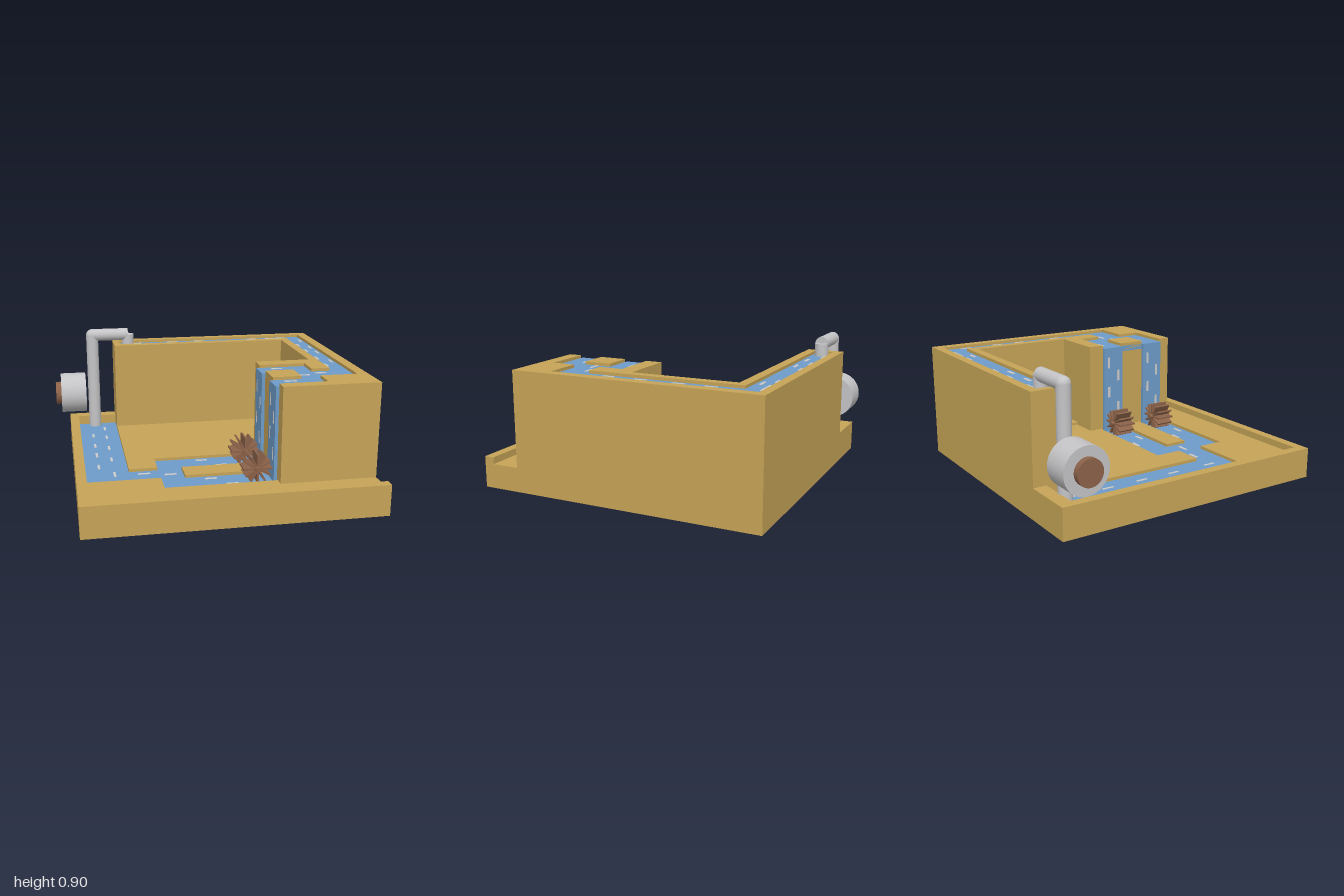
import * as THREE from 'three';

const mat = (name, color) => new THREE.MeshStandardMaterial({ name, color });

export function createModel() {
  const sand = mat('sand', 0xc6a457);
  const water = mat('water', 0x6d9cc9);
  const foam = mat('foam', 0xcccccc);
  const metal = mat('metal', 0xc4c4c6);
  const wood = mat('wood', 0x8c6249);

  const model = new THREE.Group();
  model.name = 'waterCircuit';

  // Box given by its limits on each axis
  const slab = (name, m, x0, x1, y0, y1, z0, z1, parent = model) => {
    const mesh = new THREE.Mesh(new THREE.BoxGeometry(x1 - x0, y1 - y0, z1 - z0), m);
    mesh.position.set((x0 + x1) / 2, (y0 + y1) / 2, (z0 + z1) / 2);
    mesh.name = name;
    parent.add(mesh);
    return mesh;
  };
  const layer = (name, m, y0, y1, rects) =>
    rects.forEach(([x0, x1, z0, z1]) => slab(name, m, x0, x1, y0, y1, z0, z1));

  // Base plate and low rim
  slab('base', sand, -0.9, 1, 0, 0.08, -0.94, 0.96);
  layer('lowerRim', sand, 0.08, 0.205, [
    [-0.9, -0.835, -0.94, 0.96],
    [-0.835, -0.55, -0.94, -0.85],
    [-0.835, 1, 0.895, 0.96],
  ]);

  // Lower pool and the ground around it
  slab('lowerWater', water, -0.835, 0.365, 0.08, 0.14, -0.85, 0.645);
  layer('ground', sand, 0.08, 0.16, [
    [-0.835, -0.55, 0.47, 0.895],
    [-0.55, -0.36, 0.47, 0.895],
    [-0.36, -0.2, 0.645, 0.895],
    [-0.2, 0.365, 0.645, 0.895],
    [0.365, 1, 0.705, 0.895],
    [-0.55, -0.36, -0.69, 0.28],
    [-0.36, -0.2, -0.69, 0.1],
    [-0.2, 0.365, -0.69, 0.1],
    [0.365, 0.745, -0.69, 0.01],
    [-0.2, 0.365, 0.295, 0.45],
  ]);
  slab('courtyardStep', sand, 0.555, 0.745, 0.16, 0.18, -0.465, 0.01);

  // Walls carrying the raised channel
  layer('tower', sand, 0.08, 0.73, [
    [0.365, 1, 0.01, 0.71],
    [0.745, 1, -0.69, 0.01],
    [-0.55, 1, -0.94, -0.69],
  ]);

  // Raised channel: water, then the lip and islands
  layer('upperWater', water, 0.73, 0.77, [
    [-0.505, 0.93, -0.88, -0.75],
    [0.805, 0.93, -0.75, 0.12],
    [0.365, 0.93, 0.12, 0.625],
  ]);
  layer('upperRim', sand, 0.73, 0.79, [
    [-0.55, 1, -0.94, -0.88],
    [-0.55, -0.505, -0.88, -0.69],
    [-0.505, 0.745, -0.75, -0.69],
    [0.745, 0.805, -0.75, 0.01],
    [0.365, 0.805, 0.01, 0.12],
    [0.68, 0.805, 0.12, 0.28],
    [0.68, 0.93, 0.47, 0.625],
    [0.365, 1, 0.625, 0.71],
    [0.93, 1, -0.88, 0.625],
    [0.365, 0.555, 0.28, 0.465],
  ]);

  // Waterfalls with flow marks
  for (const [z0, z1] of [[0.12, 0.28], [0.465, 0.625]]) {
    slab('waterfall', water, 0.343, 0.367, 0.13, 0.77, z0, z1);
    for (const [dz, y] of [[0.04, 0.66], [0.12, 0.56], [0.04, 0.44], [0.12, 0.32]])
      slab('fallMark', foam, 0.341, 0.344, y - 0.04, y + 0.04, z0 + dz - 0.009, z0 + dz + 0.009);
  }

  // Flow marks lying on the water
  const marks = (y, alongX, points) => points.forEach(([x, z]) => {
    const a = alongX ? 0.04 : 0.008, b = alongX ? 0.01 : 0.04;
    slab('flowMark', foam, x - a, x + a, y, y + 0.003, z - b, z + b);
  });
  marks(0.14, false, [
    [-0.645, -0.695], [-0.645, -0.48], [-0.645, -0.23], [-0.645, 0.016], [-0.645, 0.31],
    [-0.74, -0.535], [-0.74, -0.29], [-0.74, -0.09], [-0.74, 0.15],
  ]);
  marks(0.14, true, [
    [-0.455, 0.33], [-0.285, 0.37], [-0.04, 0.14], [0.08, 0.25], [-0.04, 0.49], [0.08, 0.6],
  ]);
  marks(0.77, true, [
    [0.47, 0.165], [0.47, 0.51], [0.6, 0.37], [0.725, 0.33],
    [-0.37, -0.85], [-0.09, -0.85], [0.12, -0.85], [0.545, -0.85], [0.695, -0.85], [0.78, -0.85],
    [-0.21, -0.785], [0.02, -0.785], [0.625, -0.785],
  ]);
  marks(0.77, false, [
    [0.835, 0.12], [0.905, 0.016], [0.84, -0.1], [0.905, -0.29],
    [0.84, -0.35], [0.905, -0.47], [0.84, -0.555], [0.905, -0.72],
  ]);

  const cylinder = (name, m, r, length, axis, x, y, z, parent = model) => {
    const mesh = new THREE.Mesh(new THREE.CylinderGeometry(r, r, length, 32), m);
    if (axis === 'x') mesh.rotation.z = Math.PI / 2;
    if (axis === 'z') mesh.rotation.x = Math.PI / 2;
    mesh.position.set(x, y, z);
    mesh.name = name;
    parent.add(mesh);
    return mesh;
  };

  // Paddle wheels under the falls
  for (const z of [0.197, 0.543]) {
    const wheel = new THREE.Group();
    wheel.name = 'paddleWheel';
    wheel.position.set(0.245, 0.228, z);
    cylinder('axle', wood, 0.018, 0.175, 'z', 0, 0, 0, wheel);
    for (let i = 0; i < 12; i++) {
      const arm = new THREE.Group();
      arm.name = 'paddle';
      arm.rotation.z = (i * Math.PI) / 6;
      slab('blade', wood, 0.01, 0.094, -0.006, 0.006, -0.064, 0.064, arm);
      wheel.add(arm);
    }
    model.add(wheel);
  }

  // Pump motor
  const pz = -0.815;
  cylinder('motor', metal, 0.149, 0.186, 'x', -0.867, 0.413, pz);
  cylinder('motorCap', wood, 0.085, 0.045, 'x', -0.9775, 0.413, pz);

  // Pipe lifting water to the raised channel
  cylinder('riser', metal, 0.045, 0.745, 'y', -0.71, 0.4825, pz);
  const elbow = new THREE.Mesh(new THREE.SphereGeometry(0.045, 32, 16), metal);
  elbow.name = 'elbow';
  elbow.position.set(-0.71, 0.855, pz);
  model.add(elbow);
  cylinder('crossPipe', metal, 0.045, 0.27, 'x', -0.575, 0.855, pz);
  cylinder('spout', metal, 0.045, 0.1, 'y', -0.44, 0.805, pz);

  return model;
}
